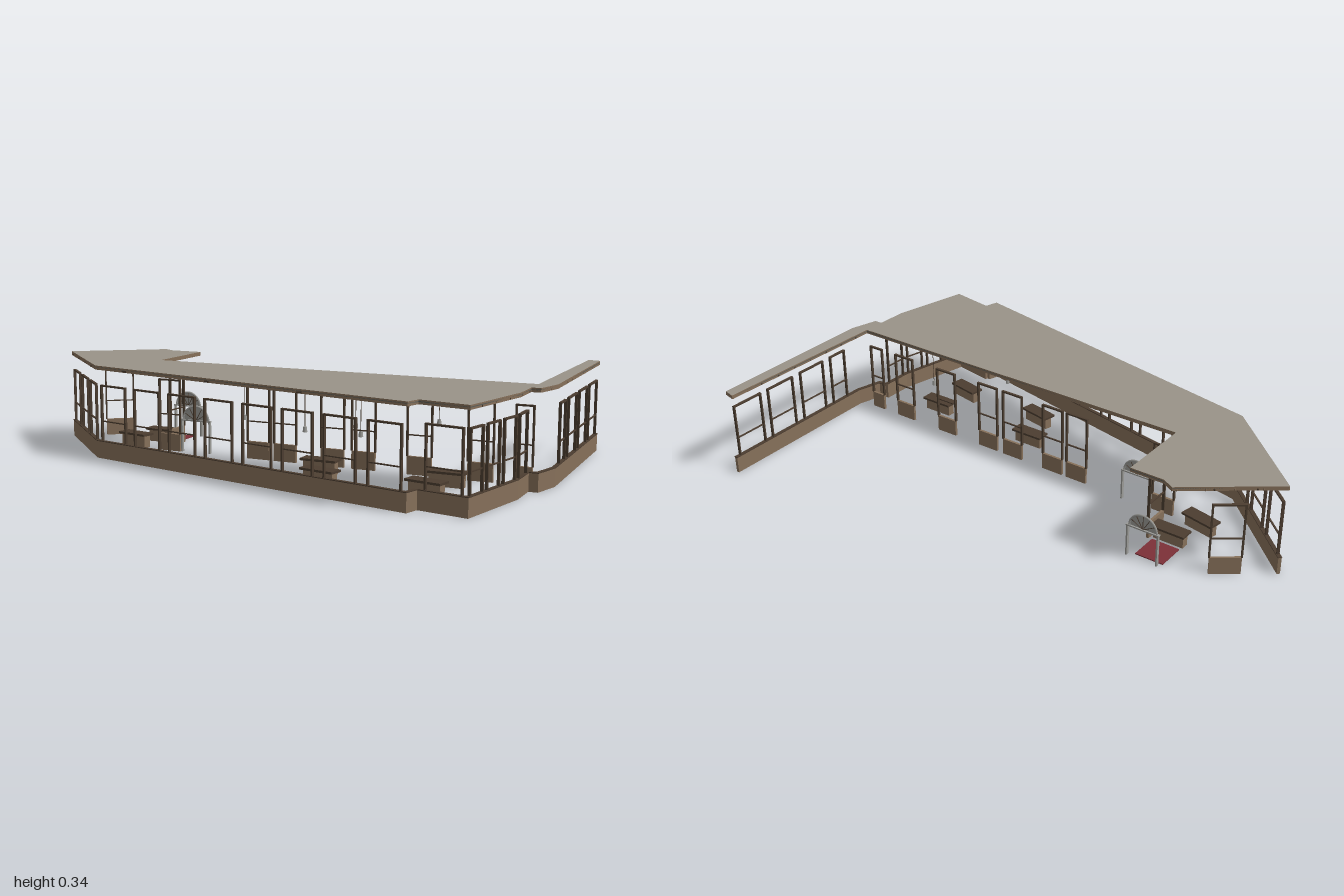
import * as THREE from 'three';

const mat = (color) => new THREE.MeshStandardMaterial({ color, side: THREE.DoubleSide });
const wood = mat(0x86705a), dark = mat(0x4c3d30), deckGrey = mat(0x999388);
const ceilingGrey = mat(0x5a5d58), stone = mat(0x9a9a96), red = mat(0x7c3038);

const RAIL = 0.065, MID = 0.14, HEAD = 0.272, EAVE = 0.33, TOP = 0.345;

// Plan outline as x, z
const outline = [
  [-1, 0], [-0.65, 0.335], [0.685, 0.625], [0.7, 0.572], [0.875, 0.605], [0.94, 0.3],
  [0.94, 0.178], [0.972, 0.178], [1, 0.07], [0.985, -0.62], [0.94, -0.63],
  [0.94, 0.09], [-0.52, 0.09], [-0.52, -0.205], [-0.65, -0.205], [-0.695, -0.23],
];

function box(parent, name, w, h, d, x, y, z, material) {
  const mesh = new THREE.Mesh(new THREE.BoxGeometry(w, h, d), material);
  mesh.name = name;
  mesh.position.set(x, y, z);
  parent.add(mesh);
  return mesh;
}

// Group whose x axis runs from a to b in plan, with outside on +z
function alongLine(parent, name, a, b) {
  const g = new THREE.Group();
  g.name = name;
  g.position.set(a[0], 0, a[1]);
  g.rotation.y = -Math.atan2(b[1] - a[1], b[0] - a[0]);
  parent.add(g);
  return { g, length: Math.hypot(b[0] - a[0], b[1] - a[1]) };
}

// Open window frame between two distances along a wall
function windowFrame(g, from, to) {
  const w = to - from, mid = (from + to) / 2, t = 0.006;
  for (const x of [from, to]) box(g, 'windowPost', t, HEAD - RAIL, 0.01, x, (HEAD + RAIL) / 2, -0.006, dark);
  box(g, 'windowHead', w + t, 0.006, 0.01, mid, HEAD, -0.006, dark);
  box(g, 'windowRail', w, 0.004, 0.006, mid, MID, -0.006, dark);
}

// Continuous low wall topped with frames
function wall(parent, name, a, b, frames) {
  const { g, length } = alongLine(parent, name, a, b);
  box(g, 'lowWall', length, RAIL, 0.012, length / 2, RAIL / 2, -0.006, wood);
  box(g, 'sill', length, 0.003, 0.015, length / 2, RAIL, -0.006, dark);
  if (typeof frames === 'number') {
    const pitch = length / frames;
    for (let i = 0; i < frames; i++) windowFrame(g, (i + 0.14) * pitch, (i + 0.86) * pitch);
  } else frames.forEach(([s, e]) => windowFrame(g, s, e));
}

// Intervals of the plan cut by a line where coordinate `axis` equals v
function cuts(axis, v) {
  const hits = [];
  outline.forEach((p, i) => {
    const q = outline[(i + 1) % outline.length];
    if ((p[axis] > v) !== (q[axis] > v)) {
      const t = (v - p[axis]) / (q[axis] - p[axis]);
      hits.push(p[1 - axis] + t * (q[1 - axis] - p[1 - axis]));
    }
  });
  hits.sort((m, n) => m - n);
  const pairs = [];
  for (let i = 0; i + 1 < hits.length; i += 2) pairs.push([hits[i], hits[i + 1]]);
  return pairs;
}

function buildRoof(parent) {
  const roof = new THREE.Group();
  roof.name = 'roof';
  parent.add(roof);
  const shape = new THREE.Shape(outline.map(([x, z]) => new THREE.Vector2(x, -z)));
  const slab = (name, y, depth, material) => {
    const geo = new THREE.ExtrudeGeometry(shape, { depth, bevelEnabled: false }).rotateX(-Math.PI / 2);
    const mesh = new THREE.Mesh(geo, material);
    mesh.name = name;
    mesh.position.y = y;
    roof.add(mesh);
  };
  slab('roofDeck', 0.34, TOP - 0.34, [deckGrey, wood]);
  slab('ceiling', 0.337, 0.003, ceilingGrey);
  // Edge boards
  outline.forEach((p, i) => {
    const { g, length } = alongLine(roof, 'fascia', p, outline[(i + 1) % outline.length]);
    box(g, 'fasciaBoard', length, 0.013, 0.006, length / 2, EAVE + 0.0065, -0.003, wood);
  });
  // Crossed rafters trimmed to the plan
  for (let x = -0.93; x < 0.99; x += 0.075)
    for (const [s, e] of cuts(0, x)) box(roof, 'rafter', 0.008, 0.008, e - s, x, 0.334, (s + e) / 2, wood);
  for (let z = -0.57; z < 0.62; z += 0.085)
    for (const [s, e] of cuts(1, z)) box(roof, 'purlin', e - s, 0.006, 0.008, (s + e) / 2, 0.334, z, dark);
}

// Arched doorway with a radial fanlight
function archedDoor(parent, x, z) {
  const g = new THREE.Group();
  g.name = 'archedDoor';
  g.position.set(x, 0, z);
  parent.add(g);
  const r = 0.055, spring = 0.122;
  const fan = new THREE.Mesh(new THREE.CircleGeometry(r, 20, 0, Math.PI), stone);
  fan.name = 'fanlight';
  fan.position.y = spring;
  g.add(fan);
  const arch = new THREE.Mesh(new THREE.TorusGeometry(r, 0.004, 6, 20, Math.PI), stone);
  arch.name = 'archFrame';
  arch.position.y = spring;
  g.add(arch);
  for (let i = 1; i < 6; i++) {
    const a = (i * Math.PI) / 6;
    const bar = box(g, 'fanBar', r, 0.002, 0.004, Math.cos(a) * r / 2, spring + Math.sin(a) * r / 2, 0, dark);
    bar.rotation.z = a;
  }
  for (const s of [-1, 1]) box(g, 'doorJamb', 0.006, spring, 0.012, s * 0.06, spring / 2, 0, stone);
  box(g, 'doorHead', 0.13, 0.005, 0.012, 0, spring, 0, stone);
}

// Bench table with an overhanging top
function table(parent, x, z, angle) {
  const g = new THREE.Group();
  g.name = 'table';
  g.position.set(x, 0, z);
  g.rotation.y = angle;
  parent.add(g);
  box(g, 'tableBody', 0.12, 0.044, 0.03, 0, 0.022, 0, wood);
  box(g, 'tableTop', 0.135, 0.008, 0.055, 0, 0.05, 0, dark);
}

function pendant(parent, x, z) {
  const g = new THREE.Group();
  g.name = 'pendantLamp';
  g.position.set(x, 0, z);
  parent.add(g);
  box(g, 'cord', 0.0015, 0.135, 0.0015, 0, 0.27, 0, dark);
  const shade = new THREE.Mesh(new THREE.CylinderGeometry(0.006, 0.008, 0.018, 10), stone);
  shade.name = 'lampShade';
  shade.position.y = 0.196;
  g.add(shade);
}

export function createModel() {
  const model = new THREE.Group();
  model.name = 'pavilion';
  const o = outline;

  buildRoof(model);

  // Outer walls
  wall(model, 'leftSplayWall', o[0], o[1], 3);
  wall(model, 'frontWall', o[1], o[2], 8);
  wall(model, 'frontStep', o[2], o[3], []);
  wall(model, 'cornerWall', o[3], o[4], 1);
  wall(model, 'sideWall', o[4], o[5], 3);
  wall(model, 'sideReturn', o[5], o[6], 1);
  wall(model, 'wingStep', o[6], o[7], []);
  wall(model, 'wingCorner', o[7], o[8], []);
  wall(model, 'wingWall', o[8], o[9], [[0.07, 0.15], [0.195, 0.32], [0.365, 0.495], [0.535, 0.668]]);

  // Short panels with frames along the open back
  const panelBay = (x, z, angle, w) => {
    const g = new THREE.Group();
    g.name = 'panelBay';
    g.position.set(x, 0, z);
    g.rotation.y = angle;
    model.add(g);
    box(g, 'lowPanel', w, RAIL, 0.01, 0, RAIL / 2, -0.006, wood);
    windowFrame(g, -w / 2, w / 2);
  };
  for (const x of [0.9, 0.75, 0.53, 0.32, 0.2, 0.01, -0.1, -0.48]) panelBay(x, 0.09, Math.PI, x > 0.85 ? 0.06 : 0.09);
  panelBay(-0.85, -0.113, Math.PI + Math.atan2(-0.23, 0.305) * -1, 0.11);
  panelBay(-0.52, -0.03, Math.PI / 2, 0.1);

  archedDoor(model, -0.58, -0.205);
  archedDoor(model, -0.37, 0.09);

  // Furnishings
  for (const [x, z, a] of [[0.66, 0.38, -0.2], [0.675, 0.22, 0], [0.28, 0.375, -0.2], [0.21, 0.22, 0],
    [-0.65, 0.075, -0.2], [-0.6, -0.05, 0]]) table(model, x, z, a);
  box(model, 'floorMat', 0.11, 0.004, 0.11, -0.6, 0.002, -0.135, red);
  for (const [x, z] of [[-0.035, 0.32], [0.255, 0.44], [0.375, 0.295], [0.455, 0.44], [0.605, 0.11]]) pendant(model, x, z);

  return model;
}
